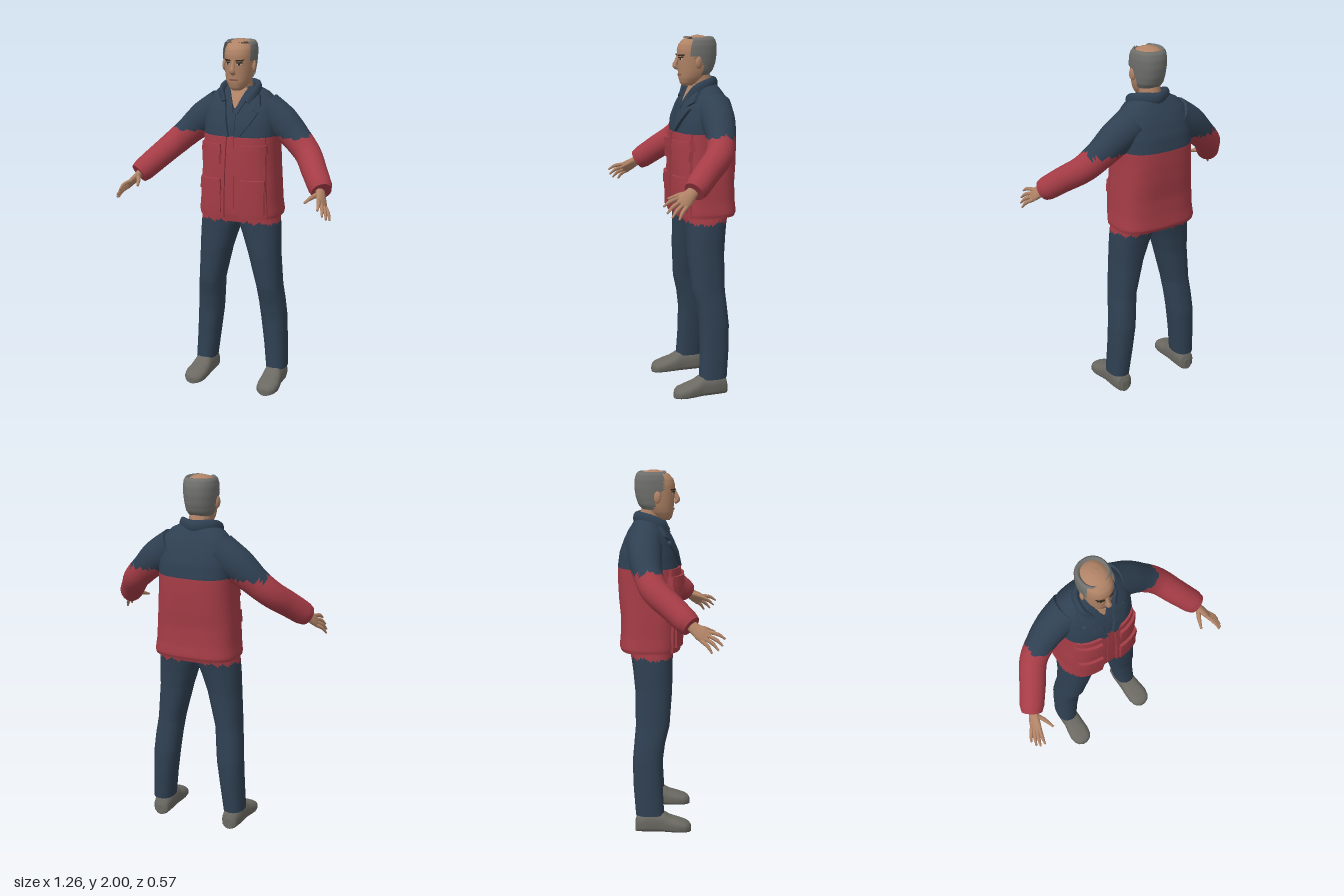
import * as THREE from 'three';

const mat = (name, color, side = THREE.FrontSide) => {
  const m = new THREE.MeshStandardMaterial({ color, side });
  m.name = name;
  return m;
};
const V = (x, y, z) => new THREE.Vector3(x, y, z);
const sgnPow = (v, e) => Math.sign(v) * Math.abs(v) ** e;

// Blend between neighbouring key rows
const mix = (a, b, t) => a.map((v, i) => v + (b[i] - v) * t);
function subdivide(keys, n) {
  const out = [];
  for (let k = 0; k < keys.length - 1; k++)
    for (let i = 0; i < n; i++) out.push(mix(keys[k], keys[k + 1], i / n));
  return [...out, keys[keys.length - 1]];
}
function rowAt(keys, y) {
  let k = 0;
  while (k < keys.length - 2 && keys[k + 1][0] < y) k++;
  const t = (y - keys[k][0]) / (keys[k + 1][0] - keys[k][0]);
  return mix(keys[k], keys[k + 1], Math.min(1, Math.max(0, t)));
}

// Skin closed rings; pick(centroid) gives a material index, or -1 for no face
function loft(rings, pick = () => 0, caps = true) {
  const N = rings[0].length, pts = rings.flat(), tris = [];
  for (let j = 0; j < rings.length - 1; j++)
    for (let i = 0; i < N; i++) {
      const a = j * N + i, b = j * N + (i + 1) % N;
      tris.push([a, b, a + N], [b, b + N, a + N]);
    }
  if (caps) [rings[0], rings[rings.length - 1]].forEach((ring, end) => {
    const start = pts.length, c = V(0, 0, 0);
    ring.forEach(p => { pts.push(p); c.addScaledVector(p, 1 / N); });
    pts.push(c);
    for (let i = 0; i < N; i++) {
      const a = start + i, b = start + (i + 1) % N;
      tris.push(end ? [a, b, start + N] : [b, a, start + N]);
    }
  });
  // Turn all faces outwards
  const o = pts[0];
  const volume = tris.reduce((s, [a, b, c]) => {
    const p = pts[a].clone().sub(o), q = pts[b].clone().sub(o), r = pts[c].clone().sub(o);
    return s + p.dot(q.cross(r));
  }, 0);
  const buckets = [[], []];
  for (const [a, b, c] of tris) {
    const m = pick(V(0, 0, 0).add(pts[a]).add(pts[b]).add(pts[c]).divideScalar(3));
    if (m >= 0) buckets[m].push(...(volume > 0 ? [a, b, c] : [a, c, b]));
  }
  const g = new THREE.BufferGeometry().setFromPoints(pts);
  g.setIndex(buckets.flat());
  g.addGroup(0, buckets[0].length, 0);
  if (buckets[1].length) g.addGroup(buckets[0].length, buckets[1].length, 1);
  g.computeVertexNormals();
  return g;
}

// Level ring from [y, halfWidth, zFront, zBack, power, centreX]
function levelRing([y, hw, zf, zb, p, cx = 0], n = 36) {
  return Array.from({ length: n }, (_, i) => {
    const a = i / n * Math.PI * 2;
    return V(cx + hw * sgnPow(Math.cos(a), 2 / p), y, (zf + zb) / 2 + (zf - zb) / 2 * sgnPow(Math.sin(a), 2 / p));
  });
}
const body = (keys, n, pick, caps) => loft(subdivide(keys, n).map(k => levelRing(k)), pick, caps);

// Tapered tube through [x, y, z, radiusA, radiusB]; radiusA lies along ref
function limb(points, ref, steps, sides, pick) {
  const curve = new THREE.CatmullRomCurve3(points.map(p => V(p[0], p[1], p[2])));
  const rings = [];
  for (let j = 0; j <= steps; j++) {
    const u = j / steps, t = curve.getTangent(u), c = curve.getPoint(u);
    const s = u * (points.length - 1), k = Math.min(points.length - 2, Math.floor(s));
    const r = mix(points[k], points[k + 1], s - k);
    const A = ref.clone().addScaledVector(t, -ref.dot(t)).normalize(), B = t.clone().cross(A);
    rings.push(Array.from({ length: sides }, (_, i) => {
      const a = i / sides * Math.PI * 2;
      return c.clone().addScaledVector(A, Math.cos(a) * r[3]).addScaledVector(B, Math.sin(a) * r[4]);
    }));
  }
  return loft(rings, pick);
}

// Raised pad on the front of a body; rows are [y, x0, x1] from bottom to top
function pad(keys, rows, depth) {
  const g = new THREE.BoxGeometry(1, 1, 1, 8, (rows.length - 1) * 4, 1), p = g.attributes.position;
  for (let i = 0; i < p.count; i++) {
    const s = (p.getY(i) + 0.5) * (rows.length - 1), k = Math.min(rows.length - 2, Math.floor(s));
    const [y, x0, x1] = mix(rows[k], rows[k + 1], s - k);
    const x = x0 + (x1 - x0) * (p.getX(i) + 0.5);
    const [, hw, zf, zb, pw] = rowAt(keys, y);
    const bulge = Math.max(0, 1 - (Math.abs(x) / hw) ** pw) ** (1 / pw);
    p.setXYZ(i, x, y, (zf + zb) / 2 + (zf - zb) / 2 * bulge + (p.getZ(i) > 0 ? depth : -0.01));
  }
  g.computeVertexNormals();
  return g;
}

function mirrored(g) {
  const m = g.clone().scale(-1, 1, 1), ix = m.index.array;
  for (let i = 0; i < ix.length; i += 3) [ix[i], ix[i + 1]] = [ix[i + 1], ix[i]];
  return m;
}

export function createModel() {
  const skin = mat('skin', 0xb08366), hair = mat('grey hair', 0x70706d, THREE.DoubleSide);
  const navy = mat('navy cloth', 0x2f4052), red = mat('red cloth', 0xa53c46);
  const shoe = mat('shoe grey', 0x6b6962), dark = mat('dark brown', 0x35291f);
  const lip = mat('lip', 0x87584a), white = mat('eye white', 0xb9aea2);
  const model = new THREE.Group();
  const add = (name, g, m) => {
    const mesh = new THREE.Mesh(g, m);
    mesh.name = name;
    model.add(mesh);
  };
  const pair = (name, g, m) => { add(name + 'Left', g, m); add(name + 'Right', mirrored(g), m); };
  const jag = c => 0.008 * Math.sin(c.x * 90 + c.z * 40);

  // Jacket
  const torso = [
    [1.015, 0.235, 0.048, -0.27, 3], [1.035, 0.238, 0.052, -0.278, 3], [1.1, 0.23, 0.055, -0.272, 3],
    [1.2, 0.225, 0.056, -0.27, 3], [1.3, 0.217, 0.057, -0.28, 2.9], [1.4, 0.212, 0.056, -0.285, 2.8],
    [1.475, 0.212, 0.05, -0.285, 2.7], [1.55, 0.215, 0.034, -0.275, 2.5], [1.62, 0.21, 0.005, -0.25, 2.4],
    [1.67, 0.19, -0.022, -0.226, 2.3], [1.71, 0.15, -0.045, -0.2, 2.2], [1.74, 0.09, -0.06, -0.18, 2]];
  add('jacket', body(torso, 4, c => c.y > 1.475 ? 1 : 0), [red, navy]);
  pair('jacketFront', pad(torso, [[1.016, 0.045, 0.2], [1.25, 0.038, 0.19], [1.475, 0.028, 0.18]], 0.013), red);
  for (const [name, y0, y1, flap] of [['chestPocket', 1.325, 1.395, 0.04], ['hipPocket', 1.045, 1.185, 0.055]]) {
    pair(name, pad(torso, [[y0, 0.06, 0.188], [y1, 0.06, 0.186]], 0.024), red);
    pair(name + 'Flap', pad(torso, [[y1 - 0.012, 0.054, 0.194], [y1 + flap, 0.058, 0.188]], 0.03), red);
  }
  pair('lapel', pad(torso, [[1.478, 0.016, 0.045], [1.55, 0.034, 0.1], [1.61, 0.048, 0.135],
    [1.622, 0.05, 0.105], [1.645, 0.056, 0.14], [1.7, 0.072, 0.125]], 0.018), navy);
  add('collar', limb([[0.075, 1.65, -0.015, 0.03, 0.014], [0.1, 1.705, -0.055, 0.035, 0.018],
    [0.085, 1.735, -0.13, 0.036, 0.02], [0, 1.735, -0.18, 0.036, 0.02], [-0.085, 1.735, -0.13, 0.036, 0.02],
    [-0.1, 1.705, -0.055, 0.035, 0.018], [-0.075, 1.65, -0.015, 0.03, 0.014]], V(0, 1, 0), 36, 12), navy);

  // Shirt: open neck, placket, hem below the jacket
  add('openNeck', pad(torso, [[1.63, -0.004, 0.004], [1.7, -0.045, 0.045], [1.735, -0.05, 0.05]], 0.006), skin);
  pair('shirtCollar', pad(torso, [[1.6, 0.002, 0.022], [1.66, 0.02, 0.052], [1.72, 0.046, 0.08]], 0.014), navy);
  add('shirtPlacket', pad(torso, [[1.48, -0.012, 0.012], [1.62, -0.012, 0.012]], 0.006), navy);
  add('shirtFront', pad(torso, [[1.06, -0.016, 0.016], [1.478, -0.014, 0.014]], 0.005), red);
  add('shirtHem', body([[0.985, 0.2, 0.018, -0.212, 2.8], [1.08, 0.215, 0.035, -0.24, 2.8]], 3), red);

  // Sleeves
  pair('sleeve', limb([[0.13, 1.61, -0.135, 0.1, 0.1], [0.235, 1.54, -0.13, 0.095, 0.09],
    [0.325, 1.46, -0.112, 0.08, 0.078], [0.4, 1.39, -0.075, 0.074, 0.074], [0.47, 1.315, 0.015, 0.07, 0.07],
    [0.525, 1.255, 0.085, 0.066, 0.066], [0.543, 1.235, 0.11, 0.058, 0.056]], V(0, 1, 0), 36, 20,
    c => c.y > 1.475 + jag(c) && c.x < 0.4 ? 1 : 0), [red, navy]);

  // Hands
  const across = V(0.44, -0.68, -0.585);
  pair('palm', limb([[0.525, 1.255, 0.09, 0.028, 0.022], [0.545, 1.222, 0.13, 0.033, 0.021],
    [0.562, 1.198, 0.165, 0.042, 0.018], [0.574, 1.178, 0.194, 0.038, 0.012]], across, 10, 14), skin);
  const tips = [[0.578, 1.175, 0.285], [0.6, 1.143, 0.272], [0.615, 1.122, 0.25], [0.625, 1.11, 0.215]];
  tips.forEach((tip, i) => {
    const base = V(0.568, 1.188, 0.178).addScaledVector(across, -0.03 + i * 0.02);
    const mid = base.clone().lerp(V(...tip), 0.55).add(V(0.004, 0.008, 0.003));
    pair('finger' + (i + 1), limb([[...base.toArray(), 0.011, 0.011], [...mid.toArray(), 0.0105, 0.01],
      [...tip, 0.005, 0.005]], across, 8, 8), skin);
  });
  pair('thumb', limb([[0.542, 1.228, 0.13, 0.016, 0.014], [0.512, 1.216, 0.18, 0.013, 0.012],
    [0.49, 1.196, 0.235, 0.006, 0.006]], across, 8, 8), skin);

  // Trouser legs from [y, xInner, xOuter, zFront, zBack]
  const leg = [[0.1, 0.163, 0.28, -0.03, -0.188], [0.25, 0.145, 0.275, -0.038, -0.2], [0.4, 0.125, 0.27, -0.038, -0.205],
    [0.5, 0.115, 0.262, -0.025, -0.196], [0.6, 0.105, 0.25, 0, -0.187], [0.8, 0.055, 0.238, 0.015, -0.19],
    [0.9, 0.022, 0.236, 0.016, -0.2], [0.97, -0.005, 0.232, 0.018, -0.21], [1.04, -0.01, 0.222, 0.025, -0.225]]
    .map(([y, a, b, zf, zb]) => [y, (b - a) / 2, zf, zb, 2.3, (a + b) / 2]);
  pair('trouserLeg', body(leg, 5, c => c.y > 0.985 + jag(c) ? 1 : 0), [navy, red]);

  // Shoes from [z, centreX, halfWidth, height]
  const shoeKeys = [[-0.192, 0.217, 0.02, 0.06], [-0.18, 0.217, 0.044, 0.1], [-0.13, 0.219, 0.054, 0.125],
    [-0.04, 0.22, 0.055, 0.118], [0, 0.223, 0.06, 0.092], [0.05, 0.226, 0.064, 0.075],
    [0.09, 0.226, 0.056, 0.062], [0.11, 0.226, 0.04, 0.05], [0.12, 0.226, 0.018, 0.035]];
  pair('shoe', loft(subdivide(shoeKeys, 3).map(([z, cx, hw, h]) => Array.from({ length: 24 }, (_, i) => {
    const a = i / 24 * Math.PI * 2, s = Math.sin(a);
    return V(cx + hw * sgnPow(Math.cos(a), 0.75), h / 2 + h / 2 * sgnPow(s, s < 0 ? 0.5 : 0.9), z);
  }))), shoe);

  // Head and neck
  const head = [[1.725, 0.026, 0.002, -0.06, 2.2], [1.74, 0.045, 0.014, -0.09, 2.2], [1.77, 0.063, 0.022, -0.13, 2.2],
    [1.8, 0.072, 0.024, -0.15, 2.2], [1.84, 0.078, 0.027, -0.168, 2.2], [1.88, 0.081, 0.029, -0.178, 2.2],
    [1.92, 0.081, 0.03, -0.181, 2.2], [1.95, 0.077, 0.021, -0.177, 2.2], [1.975, 0.066, -0.002, -0.162, 2.2],
    [1.99, 0.046, -0.035, -0.138, 2.1], [1.999, 0.015, -0.07, -0.1, 2]];
  add('head', body(head, 3), skin);
  add('neck', limb([[0, 1.62, -0.125, 0.066, 0.066], [0, 1.72, -0.108, 0.06, 0.06], [0, 1.82, -0.085, 0.058, 0.06]],
    V(1, 0, 0), 8, 24), skin);
  const hairKeys = [[1.785, 0.068, 0.01, -0.148, 2.2], [1.81, 0.08, 0.02, -0.17, 2.2], [1.85, 0.086, 0.03, -0.184, 2.2],
    [1.9, 0.091, 0.033, -0.192, 2.2], [1.945, 0.092, 0.026, -0.191, 2.2], [1.975, 0.087, 0.01, -0.182, 2.2],
    [1.99, 0.076, -0.01, -0.168, 2.2], [1.965, 0.056, -0.03, -0.14, 2.2]];
  add('hair', body(hairKeys, 4, c => c.z < (c.y > 1.89 ? -0.025 : c.y > 1.85 ? -0.045 : -0.085) + jag(c) ? 0 : -1, false), hair);

  // Face
  add('nose', limb([[0, 1.892, 0.024, 0.008, 0.01], [0, 1.86, 0.036, 0.011, 0.012], [0, 1.835, 0.045, 0.016, 0.014],
    [0, 1.82, 0.028, 0.014, 0.01]], V(1, 0, 0), 12, 12), skin);
  pair('ear', new THREE.SphereGeometry(1, 14, 10).scale(0.012, 0.034, 0.021).rotateY(0.3).translate(0.086, 1.855, -0.066), skin);
  pair('eyebrow', pad(head, [[1.888, 0.014, 0.05], [1.897, 0.018, 0.056]], 0.006), dark);
  pair('eyeWhite', pad(head, [[1.868, 0.022, 0.044], [1.88, 0.02, 0.047]], 0.002), white);
  pair('iris', pad(head, [[1.868, 0.029, 0.038], [1.88, 0.028, 0.039]], 0.003), dark);
  pair('eyelid', pad(head, [[1.878, 0.017, 0.05], [1.884, 0.02, 0.047]], 0.004), dark);
  add('mouth', pad(head, [[1.781, -0.022, 0.022], [1.79, -0.026, 0.026]], 0.004), lip);
  return model;
}
